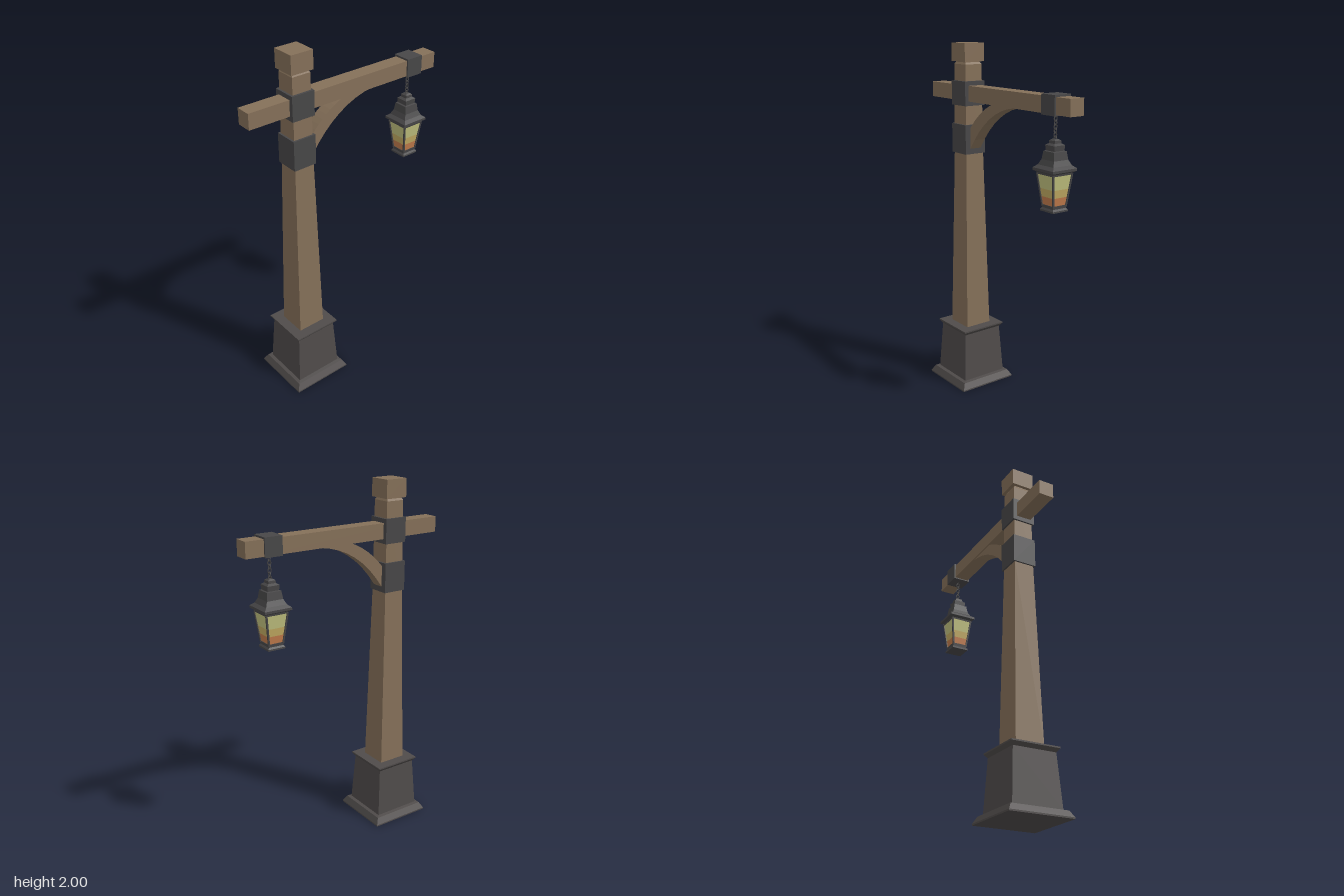
import * as THREE from 'three';

const paint = (name, color) => {
  const m = new THREE.MeshStandardMaterial({ color });
  m.name = name;
  return m;
};

export function createModel() {
  const wood = paint('wood', 0x857059);
  const stone = paint('dark stone', 0x4f4b4a);
  const iron = paint('iron', 0x484748);
  const glassTop = paint('pale yellow glass', 0xc0c07e);
  const glassMid = paint('amber glass', 0xc2aa62);
  const glassLow = paint('orange glass', 0xc27c4c);

  const model = new THREE.Group();
  model.name = 'lampPost';
  const add = (parent, name, geometry, material, x = 0, y = 0, z = 0) => {
    const mesh = new THREE.Mesh(geometry, material);
    mesh.name = name;
    mesh.position.set(x, y, z);
    parent.add(mesh);
    return mesh;
  };

  // Square tower from [half width, height] pairs, listed bottom to top
  const tower = (profile) => {
    const pts = profile.map(([h, y]) => new THREE.Vector2(h * Math.SQRT2, y));
    pts.unshift(new THREE.Vector2(0, pts[0].y));
    pts.push(new THREE.Vector2(0, pts[pts.length - 1].y));
    const g = new THREE.LatheGeometry(pts, 4, Math.PI / 4).toNonIndexed();
    g.computeVertexNormals();
    return g;
  };
  const box = (w, h, d) => new THREE.BoxGeometry(w, h, d);
  const postX = -0.3, lampX = 0.447;

  // Pedestal
  add(model, 'pedestal', tower([
    [0.178, 0], [0.178, 0.008], [0.158, 0.042], [0.139, 0.046],
    [0.122, 0.328], [0.137, 0.347], [0.137, 0.355],
  ]), stone, postX);

  // Tapered post with a necked cap
  add(model, 'post', tower([
    [0.081, 0.35], [0.058, 1.4], [0.054, 1.885], [0.047, 1.896],
  ]), wood, postX);
  add(model, 'postNeck', box(0.094, 0.03, 0.094), wood, postX, 1.895);
  add(model, 'postCap', box(0.13, 0.1, 0.13), wood, postX, 1.95);

  // Crossbeam and iron bands
  add(model, 'crossbeam', box(1.2, 0.086, 0.086), wood, 0, 1.728);
  add(model, 'upperBand', box(0.132, 0.135, 0.132), iron, postX, 1.7275);
  add(model, 'lowerBand', box(0.134, 0.165, 0.134), iron, postX, 1.4725);
  add(model, 'beamBand', box(0.1, 0.102, 0.104), iron, lampX, 1.73);

  // Curved brace
  const arch = new THREE.Shape();
  arch.moveTo(-0.25, 1.40);
  arch.lineTo(-0.235, 1.418);
  arch.quadraticCurveTo(-0.074, 1.658, 0.17, 1.686);
  arch.lineTo(-0.03, 1.686);
  arch.quadraticCurveTo(-0.145, 1.64, -0.235, 1.534);
  arch.lineTo(-0.25, 1.52);
  add(model, 'brace', new THREE.ExtrudeGeometry(arch, {
    depth: 0.07, bevelEnabled: false, curveSegments: 8,
  }), wood, 0, 0, -0.035);

  // Chain of alternating links
  const chain = new THREE.Group();
  chain.name = 'chain';
  model.add(chain);
  for (let i = 0; i < 7; i++) {
    const link = add(chain, 'link', new THREE.TorusGeometry(0.0095, 0.003, 5, 10), iron, lampX, 1.68 - i * 0.02);
    link.scale.y = 1.35;
    link.rotation.y = i % 2 ? Math.PI / 2 : 0;
  }

  // Lantern
  const lantern = new THREE.Group();
  lantern.name = 'lantern';
  lantern.position.x = lampX;
  model.add(lantern);
  add(lantern, 'lanternRoof', tower([
    [0.062, 1.384], [0.064, 1.394], [0.079, 1.403], [0.079, 1.416], [0.06, 1.431],
    [0.047, 1.458], [0.041, 1.5], [0.033, 1.503], [0.035, 1.53], [0.022, 1.539],
    [0.021, 1.553], [0.012, 1.56],
  ]), iron);
  add(lantern, 'lanternBase', tower([
    [0.05, 1.195], [0.05, 1.204], [0.043, 1.213], [0.045, 1.229],
  ]), iron);

  // Tapered glass in three colour bands
  const glassHalf = (y) => 0.041 + (y - 1.225) * 0.125;
  const bands = [
    ['lowGlass', 1.225, 1.27, glassLow],
    ['middleGlass', 1.27, 1.312, glassMid],
    ['topGlass', 1.312, 1.388, glassTop],
  ];
  for (const [name, a, b, material] of bands) {
    add(lantern, name, tower([[glassHalf(a), a], [glassHalf(b), b]]), material);
  }

  // Corner bars of the lantern
  const up = new THREE.Vector3(0, 1, 0);
  for (const sx of [-1, 1]) for (const sz of [-1, 1]) {
    const a = new THREE.Vector3(sx * 0.041, 1.22, sz * 0.041);
    const b = new THREE.Vector3(sx * 0.0615, 1.39, sz * 0.0615);
    const dir = b.clone().sub(a);
    const mid = a.clone().add(b).multiplyScalar(0.5);
    const bar = add(lantern, 'cornerBar', box(0.009, dir.length(), 0.009), iron, mid.x, mid.y, mid.z);
    bar.quaternion.setFromUnitVectors(up, dir.normalize());
  }
  return model;
}
